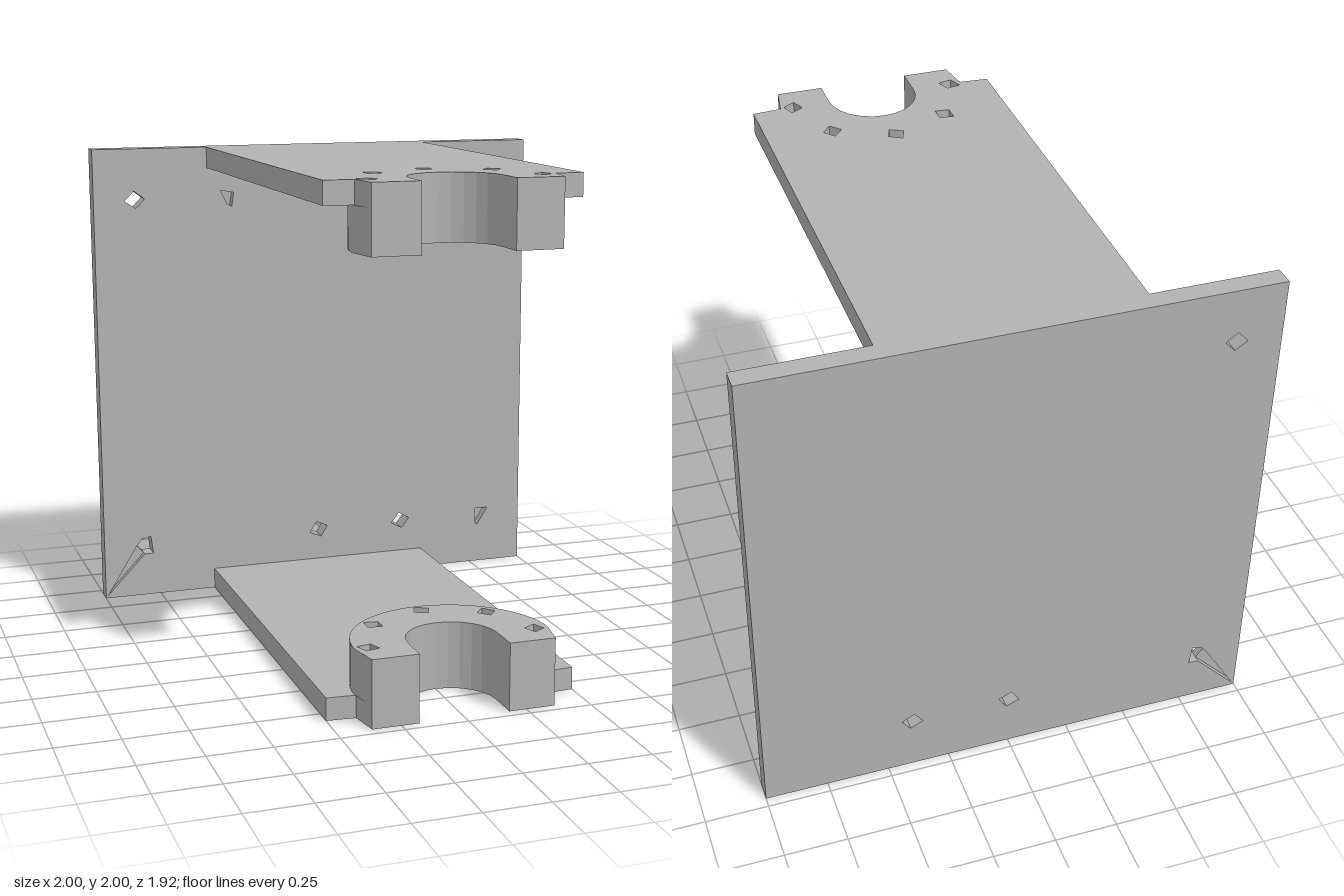
import * as THREE from 'three';

const PI = Math.PI;
const points = (list) => list.map(([x, y]) => new THREE.Vector2(x, y));

// Small rough four-sided hole
function roughHole(x, y, turn = 0, r = 0.043) {
  const radii = [1, 0.9, 1.05, 0.85];
  return new THREE.Path(points(radii.map((k, i) => {
    const a = turn + i * PI / 2;
    return [x + r * k * Math.cos(a), y + r * k * Math.sin(a)];
  })));
}

const polygonHole = (list) => new THREE.Path(points(list));

function arc(cx, cy, r, from, to, steps) {
  return Array.from({ length: steps + 1 }, (_, i) => {
    const a = from + (to - from) * i / steps;
    return [cx + r * Math.cos(a), cy + r * Math.sin(a)];
  });
}

function slab(shape, depth, material, name) {
  const geometry = new THREE.ExtrudeGeometry(shape, { depth, bevelEnabled: false });
  const mesh = new THREE.Mesh(geometry, material);
  mesh.name = name;
  return mesh;
}

// Lays an x/z outline flat, with its upper face at the given height
function layFlat(mesh, top) {
  mesh.rotation.x = PI / 2;
  mesh.position.y = top;
  return mesh;
}

export function createModel() {
  const grey = new THREE.MeshStandardMaterial({ color: 0xb2b2b2 });
  grey.name = 'grey';
  const model = new THREE.Group();
  model.name = 'wallBracket';

  // Back plate in two layers: some fixing holes go through, others are blind
  const through = () => [
    roughHole(-0.82, 1.78, 0.1),
    roughHole(0, 0.23, 0.3),
    roughHole(0.4, 0.235, 0.2),
    polygonHole([[-0.99, 0.012], [-0.855, 0.23], [-0.83, 0.26], [-0.79, 0.27], [-0.78, 0.19], [-0.82, 0.19]]),
  ];
  const blind = () => [
    polygonHole([[0.78, 1.82], [0.79, 1.82], [0.84, 1.75], [0.78, 1.74]]),
    polygonHole([[0.78, 0.26], [0.84, 0.26], [0.79, 0.18], [0.78, 0.19]]),
    polygonHole([[-0.44, 1.81], [-0.38, 1.8], [-0.39, 1.74], [-0.41, 1.75]]),
  ];
  const plateShape = () => new THREE.Shape(points([[-1, 0], [1, 0], [1, 2], [-1, 2]]));
  const rear = plateShape();
  rear.holes = through();
  const front = plateShape();
  front.holes = [...through(), ...blind()];
  const rearPlate = slab(rear, 0.04, grey, 'backPlateRear');
  rearPlate.position.z = -0.96;
  const frontPlate = slab(front, 0.04, grey, 'backPlateFront');
  frontPlate.position.z = -0.92;
  // Floor of the groove running from the lower hole to the corner
  const groove = slab(new THREE.Shape(points([[-0.99, 0.012], [-0.82, 0.19], [-0.855, 0.23]])), 0.03, grey, 'grooveFloor');
  groove.position.z = -0.935;
  model.add(rearPlate, frontPlate, groove);

  // Outlines in x/z, shared by the arm and the collar
  const slot = [[-0.18, 0.96], ...arc(0, 0.83, 0.18, PI, 2 * PI, 12), [0.18, 0.96]];
  const screwHoles = () => [
    [-0.335, 0.83], [-0.235, 0.59], [0, 0.49], [0.235, 0.59], [0.335, 0.83],
  ].map(([x, z], i) => roughHole(x, z, 0.5 + i * 0.35));

  const armShape = new THREE.Shape(points([
    ...slot, [0.365, 0.96], [0.385, 0.834], [0.5, 0.825], [0.5, -0.88],
    [-0.5, -0.88], [-0.5, 0.825], [-0.385, 0.834], [-0.365, 0.96],
  ]));
  armShape.holes = screwHoles();

  const collarShape = new THREE.Shape(points([
    ...slot, [0.365, 0.96], ...arc(0, 0.83, 0.39, 2 * PI, PI, 32), [-0.365, 0.96],
  ]));
  collarShape.holes = screwHoles();

  // Two arms, each with a forked collar on its inner face
  for (const [side, armTop, collarTop] of [['lower', 0.09, 0.27], ['upper', 2, 1.91]]) {
    model.add(
      layFlat(slab(armShape, 0.09, grey, side + 'Arm'), armTop),
      layFlat(slab(collarShape, side === 'lower' ? 0.18 : 0.17, grey, side + 'Collar'), collarTop),
    );
  }
  return model;
}
